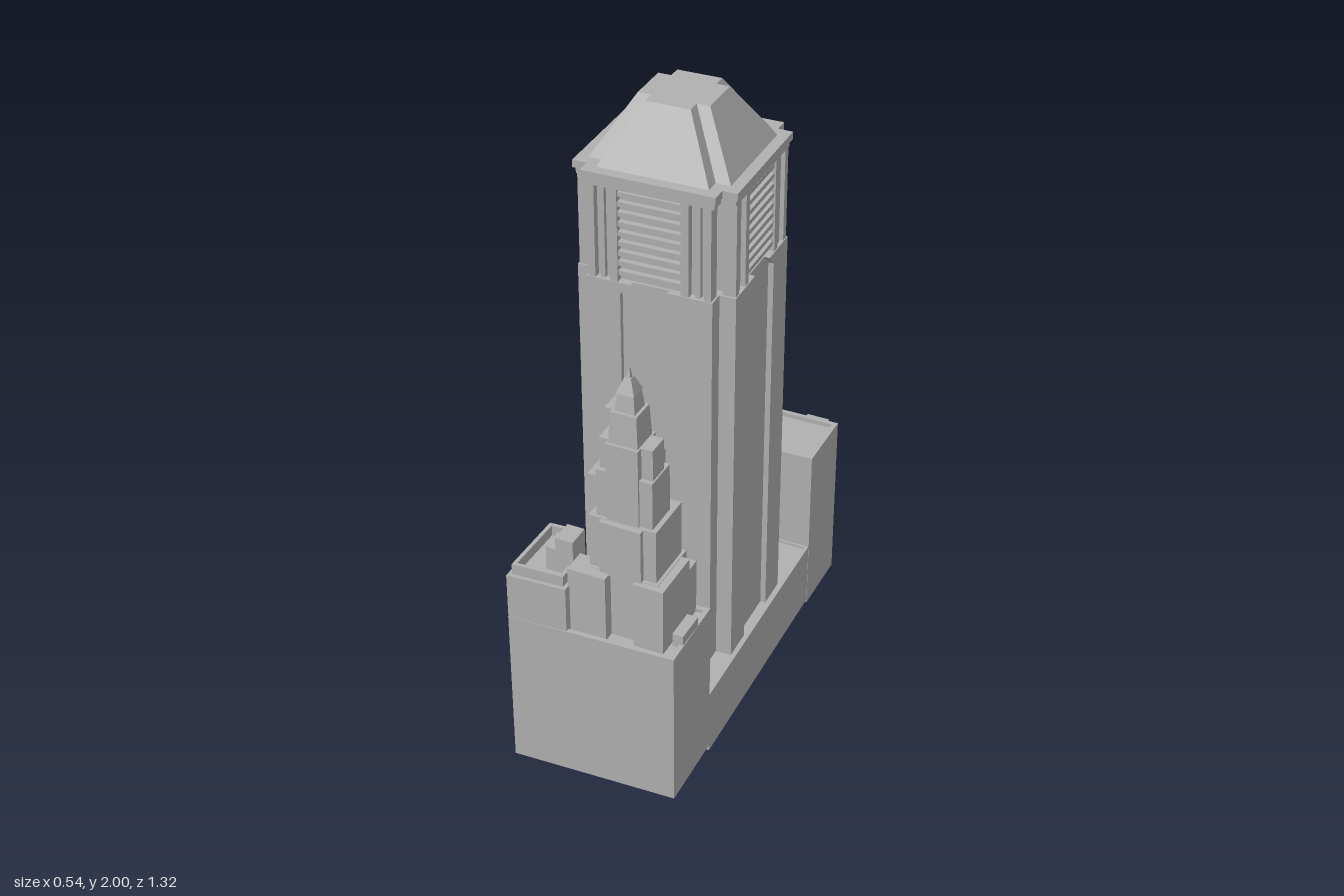
import * as THREE from 'three';

const stone = new THREE.MeshStandardMaterial({ color: 0xb0b0b0, side: THREE.DoubleSide, flatShading: true });
stone.name = 'grey stone';

function add(parent, name, geometry) {
  const mesh = new THREE.Mesh(geometry, stone);
  mesh.name = name;
  parent.add(mesh);
  return mesh;
}

// Box from its limits on each axis
function box(parent, name, x0, x1, y0, y1, z0, z1) {
  add(parent, name, new THREE.BoxGeometry(x1 - x0, y1 - y0, z1 - z0))
    .position.set((x0 + x1) / 2, (y0 + y1) / 2, (z0 + z1) / 2);
}

const toVectors = (plan) => plan.map(([x, z]) => new THREE.Vector2(x, -z));

// Upright prism over an [x, z] plan, optionally with a hole
function prism(parent, name, plan, y0, y1, hole) {
  const shape = new THREE.Shape(toVectors(plan));
  if (hole) shape.holes.push(new THREE.Path(toVectors(hole)));
  const g = new THREE.ExtrudeGeometry(shape, { depth: y1 - y0, bevelEnabled: false });
  g.rotateX(-Math.PI / 2).translate(0, y0, 0);
  add(parent, name, g);
}

// Plan moved inwards by w, with mitred corners
function inset(plan, w) {
  const n = plan.length;
  const normal = (a, b) => {
    const l = Math.hypot(b[0] - a[0], b[1] - a[1]);
    return [-(b[1] - a[1]) / l, (b[0] - a[0]) / l];
  };
  return plan.map((p, i) => {
    const a = normal(plan[(i + n - 1) % n], p), b = normal(p, plan[(i + 1) % n]);
    const k = w / (1 + a[0] * b[0] + a[1] * b[1]);
    return [p[0] + k * (a[0] + b[0]), p[1] + k * (a[1] + b[1])];
  });
}

// Block with a flat roof and a thin raised parapet
function roofed(parent, name, plan, y0, roof, top, w = 0.015) {
  prism(parent, name, plan, y0, roof);
  prism(parent, name + 'Parapet', plan, roof, top, inset(plan, w));
}

// Repeats one side's [along, outward] points around a square
function fourSided(side) {
  const plan = [];
  for (let k = 0; k < 4; k++) {
    const c = Math.round(Math.cos(k * Math.PI / 2)), s = Math.round(Math.sin(k * Math.PI / 2));
    for (const [u, o] of side) plan.push([o * c - u * s, o * s + u * c]);
  }
  return plan;
}
const notched = (h, n) => fourSided([[n - h, h], [h - n, h], [h - n, h - n]]);

// Sloping walls between two matching plans, closed on top
function loft(parent, name, low, y0, high, y1) {
  const v = [], n = low.length;
  for (let i = 0; i < n; i++) {
    const j = (i + 1) % n;
    const a = [low[i][0], y0, low[i][1]], b = [low[j][0], y0, low[j][1]];
    const c = [high[j][0], y1, high[j][1]], d = [high[i][0], y1, high[i][1]];
    v.push(...a, ...d, ...b, ...b, ...d, ...c);
  }
  const g = new THREE.BufferGeometry();
  g.setAttribute('position', new THREE.Float32BufferAttribute(v, 3));
  g.computeVertexNormals();
  add(parent, name, g);
  prism(parent, name + 'Cap', high, y1 - 0.005, y1);
}

function mainTower() {
  const tower = new THREE.Group();
  tower.name = 'mainTower';
  const h = 0.243, bay = 0.088, deep = 0.226;

  // Shaft with notched corners and a recessed bay on every side
  prism(tower, 'shaft', fourSided([[-0.193, h], [-bay, h], [-bay, deep], [bay, deep], [bay, h], [0.193, h], [0.193, 0.193]]), 0.02, 1.495);

  // Crown core, cornice and truncated roof
  prism(tower, 'crownCore', notched(0.218, 0.05), 1.49, 1.8);
  prism(tower, 'lowerCornice', notched(0.24, 0.045), 1.785, 1.805);
  prism(tower, 'upperCornice', notched(0.247, 0.045), 1.805, 1.828);
  loft(tower, 'roof', notched(0.213, 0.045), 1.828, notched(0.108, 0.04), 2);

  // Piers, louvres and bay brackets on every side
  for (let k = 0; k < 4; k++) {
    const side = new THREE.Group();
    side.name = 'crownSide';
    side.rotation.y = k * Math.PI / 2;
    for (const s of [-1, 1]) {
      for (const [u, w, out] of [[0.176, 0.022, 0.24], [0.145, 0.014, 0.232], [0.108, 0.024, 0.24]])
        box(side, 'pier', s * u - w / 2, s * u + w / 2, 1.495, 1.79, 0.2, out);
      const bracket = new THREE.Shape([[s * bay, 1.46], [s * bay, 1.495], [s * 0.055, 1.495]].map(([x, y]) => new THREE.Vector2(x, y)));
      add(side, 'bayBracket', new THREE.ExtrudeGeometry(bracket, { depth: h - deep, bevelEnabled: false })).position.z = deep;
    }
    for (let i = 0; i < 9; i++) {
      const y = 1.515 + i * 0.031;
      box(side, 'louvre', -0.096, 0.096, y, y + 0.014, 0.21, 0.235);
    }
    tower.add(side);
  }
  tower.position.set(-0.007, 0, -0.017);
  tower.rotation.y = 0.03;
  return tower;
}

function setbackTower() {
  const t = new THREE.Group();
  t.name = 'setbackTower';
  // Lower tiers
  box(t, 'baseTier', -0.035, 0.2, 0.5, 0.77, 0.4, 0.585);
  box(t, 'baseLeftBay', 0.13, 0.225, 0.5, 0.768, 0.43, 0.605);
  box(t, 'baseRightBay', -0.07, 0.05, 0.5, 0.768, 0.54, 0.62);
  box(t, 'baseRearBay', 0.03, 0.225, 0.5, 0.73, 0.385, 0.45);
  box(t, 'middleTier', -0.02, 0.19, 0.76, 0.945, 0.41, 0.575);
  box(t, 'middleFrontBay', 0.02, 0.15, 0.76, 0.943, 0.57, 0.592);
  box(t, 'middleSideBay', -0.045, 0.0, 0.76, 1.05, 0.41, 0.53);
  // Upper tiers and rear shaft
  box(t, 'upperTier', 0.0, 0.175, 0.94, 1.1, 0.455, 0.565);
  box(t, 'upperFrontBay', 0.035, 0.135, 0.94, 1.2, 0.46, 0.572);
  box(t, 'upperSideBays', 0.005, 0.17, 0.94, 1.2, 0.48, 0.55);
  box(t, 'rearTier', 0.0, 0.13, 0.94, 1.1, 0.39, 0.47);
  box(t, 'rearShaft', -0.02, 0.028, 0.94, 1.24, 0.39, 0.465);
  box(t, 'rearBlock', 0.028, 0.08, 1.08, 1.21, 0.4, 0.465);
  // Lantern and spire
  const square = (r) => [[0.085 + r, 0.517 - r], [0.085 + r, 0.517 + r], [0.085 - r, 0.517 + r], [0.085 - r, 0.517 - r]];
  loft(t, 'lanternBase', square(0.045), 1.2, square(0.04), 1.3);
  loft(t, 'lantern', square(0.031), 1.3, square(0.024), 1.36);
  loft(t, 'lanternEaves', square(0.028), 1.355, square(0.01), 1.4);
  loft(t, 'spire', square(0.007), 1.4, square(0.001), 1.435);
  return t;
}

export function createModel() {
  const model = new THREE.Group();
  model.name = 'towerComplex';

  // Low podium with a gap behind the tower
  roofed(model, 'podium', [[0.247, -0.43], [0.265, 0.375], [-0.25, 0.41], [-0.255, -0.262], [0.045, -0.265], [0.038, -0.43]], 0.01, 0.222, 0.23, 0.008);

  // L-shaped rear block
  roofed(model, 'rearBlock', [[0.245, -0.655], [0.248, -0.43], [-0.015, -0.425], [-0.012, -0.26], [-0.255, -0.255], [-0.27, -0.647]], 0, 0.565, 0.58);
  box(model, 'rearPilaster', 0.135, 0.21, 0, 0.58, -0.663, -0.64);

  // Front block with a light well at the rear
  roofed(model, 'frontBlock', [[0.27, 0.63], [-0.25, 0.658], [-0.245, 0.41], [-0.13, 0.402], [-0.125, 0.505], [-0.07, 0.535],
    [-0.042, 0.535], [-0.042, 0.45], [-0.02, 0.45], [-0.02, 0.393], [0.265, 0.373]], 0.03, 0.548, 0.56);
  box(model, 'cornerParapet', 0.232, 0.266, 0.54, 0.592, 0.46, 0.56);

  // Raised wing with its parapet and rooftop boxes
  const wing = [[-0.065, 0.645], [-0.25, 0.657], [-0.245, 0.41], [-0.13, 0.402], [-0.125, 0.505], [-0.065, 0.535]];
  prism(model, 'wing', wing, 0.54, 0.71);
  const rim = inset(wing, 0.012);
  prism(model, 'wingParapet', rim, 0.71, 0.745, inset(rim, 0.012));
  box(model, 'lowRoofBox', -0.16, -0.125, 0.71, 0.79, 0.505, 0.58);
  box(model, 'highRoofBox', -0.128, -0.072, 0.71, 0.83, 0.505, 0.58);

  model.add(mainTower(), setbackTower());
  return model;
}
